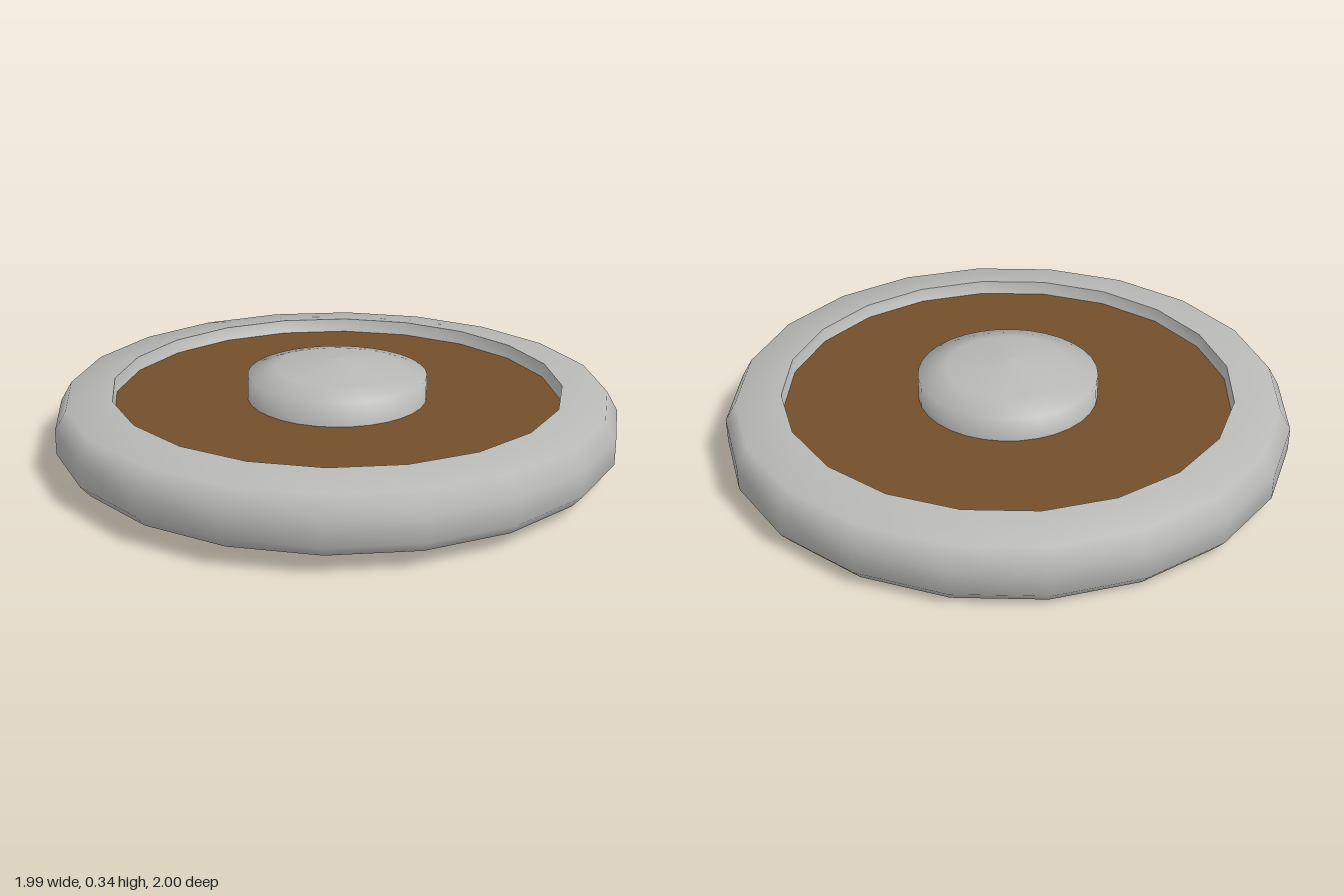
import * as THREE from 'three';

export function createModel() {
  const steel = new THREE.MeshStandardMaterial({ color: 0xb8b8b6 });
  steel.name = 'steel grey';
  const wood = new THREE.MeshStandardMaterial({ color: 0x744f2a });
  wood.name = 'wood brown';

  const shield = new THREE.Group();
  shield.name = 'roundShield';

  // Turned part from [radius, height] points; the outline runs up the outside
  const turn = (name, points, sides, material) => {
    const profile = points.map(([r, y]) => new THREE.Vector2(r, y));
    const mesh = new THREE.Mesh(new THREE.LatheGeometry(profile, sides, 0.08), material);
    mesh.name = name;
    shield.add(mesh);
  };

  // Rim: rounded outer band, then the inner wall that tucks under the board face
  turn('rim', [[0.957, 0.034], [0.965, 0.034], [1, 0.075], [1, 0.16], [0.96, 0.23],
    [0.8, 0.248]], 20, steel);
  turn('rimInnerWall', [[0.81, 0.246], [0.8, 0.248], [0.795, 0.195], [0.77, 0.194]], 20, steel);

  // Wooden board: recessed face, and a dished back with a bevelled edge
  turn('boardFace', [[0.797, 0.197], [0, 0.197]], 20, wood);
  turn('boardBack', [[0, 0.11], [0.5, 0.1], [0.9, 0.078], [0.957, 0.034]], 20, wood);

  // Central boss: straight wall rolling into a shallow dome
  turn('boss', [[0.34, 0.19], [0.32, 0.195], [0.32, 0.283], [0.22, 0.307],
    [0.1, 0.329], [0, 0.338]], 32, steel);

  // The shield lies slightly tilted, front edge raised
  shield.rotation.x = -0.034;
  shield.position.z = 0.004;

  const model = new THREE.Group();
  model.name = 'shieldModel';
  model.add(shield);
  return model;
}
